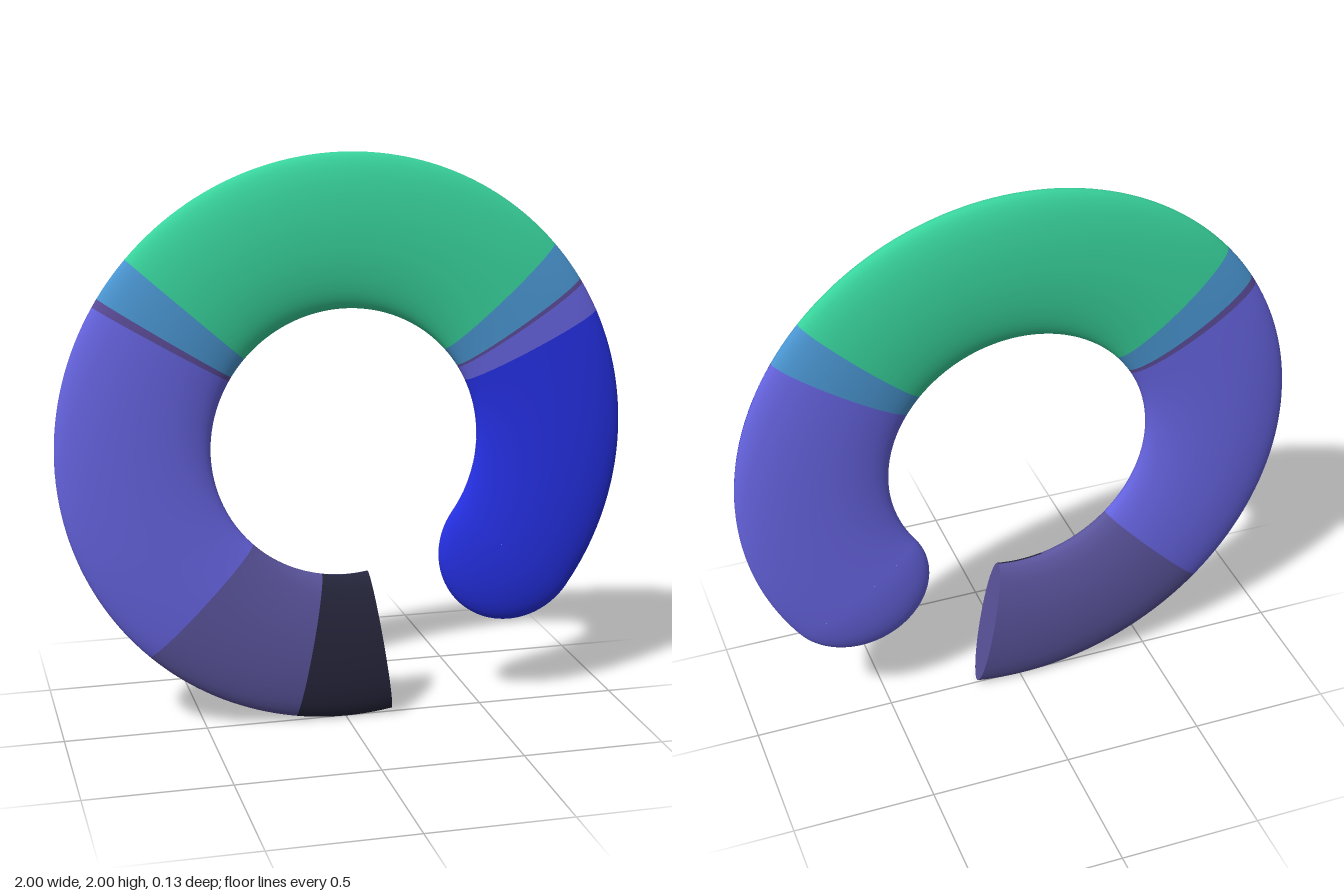
import * as THREE from 'three';

const R = 0.736, A = 0.264, D = 0.066; // ring radius, half width, half depth
const CY = 1;
const rad = THREE.MathUtils.degToRad;

// Section of the flattened ring between two angles (degrees, counter-clockwise from +x).
// p0..p1 is the span round the elliptical cross-section: 0..180 front, 180..360 back.
function ringSection(from, to, p0, p1) {
  const nt = Math.max(2, Math.ceil((to - from) / 2));
  const np = Math.ceil((p1 - p0) / 5);
  const pos = [], nor = [], idx = [];
  const n = new THREE.Vector3();
  for (let i = 0; i <= nt; i++) {
    const t = rad(from + (to - from) * i / nt);
    for (let j = 0; j <= np; j++) {
      const p = rad(p0 + (p1 - p0) * j / np);
      const r = R + A * Math.cos(p);
      pos.push(r * Math.cos(t), CY + r * Math.sin(t), D * Math.sin(p));
      const nr = Math.cos(p) / A;
      n.set(nr * Math.cos(t), nr * Math.sin(t), Math.sin(p) / D).normalize();
      nor.push(n.x, n.y, n.z);
      if (i < nt && j < np) {
        const a = i * (np + 1) + j, b = a + np + 1;
        idx.push(a, b, b + 1, a, b + 1, a + 1);
      }
    }
  }
  const g = new THREE.BufferGeometry();
  g.setAttribute('position', new THREE.Float32BufferAttribute(pos, 3));
  g.setAttribute('normal', new THREE.Float32BufferAttribute(nor, 3));
  g.setIndex(idx);
  return g;
}

// Quarter of a flattened ball closing the ring's round end
function roundEnd(angle, phiStart) {
  const g = new THREE.SphereGeometry(1, 24, 48, phiStart, Math.PI / 2);
  g.scale(A, A, D);
  g.rotateZ(rad(angle - 90));
  g.translate(R * Math.cos(rad(angle)), CY + R * Math.sin(rad(angle)), 0);
  return g;
}

// Flat ellipse closing the cut end
function cutEnd(angle) {
  const g = new THREE.CircleGeometry(1, 72);
  g.scale(A, D, 1);
  g.rotateX(-Math.PI / 2);
  g.rotateZ(rad(angle));
  g.translate(R * Math.cos(rad(angle)), CY + R * Math.sin(rad(angle)), 0);
  return g;
}

export function createModel() {
  const group = new THREE.Group();
  const material = (name, color) => {
    const m = new THREE.MeshStandardMaterial({ color });
    m.name = name;
    return m;
  };
  const green = material('green', 0x38d39c);
  const sky = material('sky blue', 0x4a96d2);
  const violet = material('periwinkle', 0x6664e0);
  const slate = material('slate violet', 0x5a549c);
  const plum = material('plum', 0x5c4c98);
  const dark = material('near black', 0x26263c);
  const royal = material('royal blue', 0x2530e4);

  const add = (name, geometry, mat) => {
    const mesh = new THREE.Mesh(geometry, mat);
    mesh.name = name;
    group.add(mesh);
  };

  const FULL = [0, 360], FRONT = [0, 180], BACK = [180, 360];
  const START = -35, END = 279.7;
  const sections = [
    ['leftArmFront', START, 25.5, FRONT, royal],
    ['leftUpperArmFront', 25.5, 32, FRONT, violet],
    ['leftSeam', 32, 33, FRONT, plum],
    ['leftArmBack', START, 33, BACK, violet],
    ['leftBand', 33, 42, FULL, sky],
    ['topArc', 42, 138.3, FULL, green],
    ['rightBand', 138.3, 147.4, FULL, sky],
    ['rightSeam', 147.4, 149.2, FULL, plum],
    ['rightArm', 149.2, 225.8, FULL, violet],
    ['lowerArc', 225.8, 259.5, FULL, slate],
    ['tipFront', 259.5, END, FRONT, dark],
    ['tipBack', 259.5, END, BACK, slate],
  ];
  for (const [name, from, to, span, mat] of sections) {
    add(name, ringSection(from, to, ...span), mat);
  }

  // Ends of the open ring
  add('roundEndFront', roundEnd(START, Math.PI / 2), royal);
  add('roundEndBack', roundEnd(START, Math.PI), violet);
  add('cutEnd', cutEnd(END), slate);

  return group;
}
